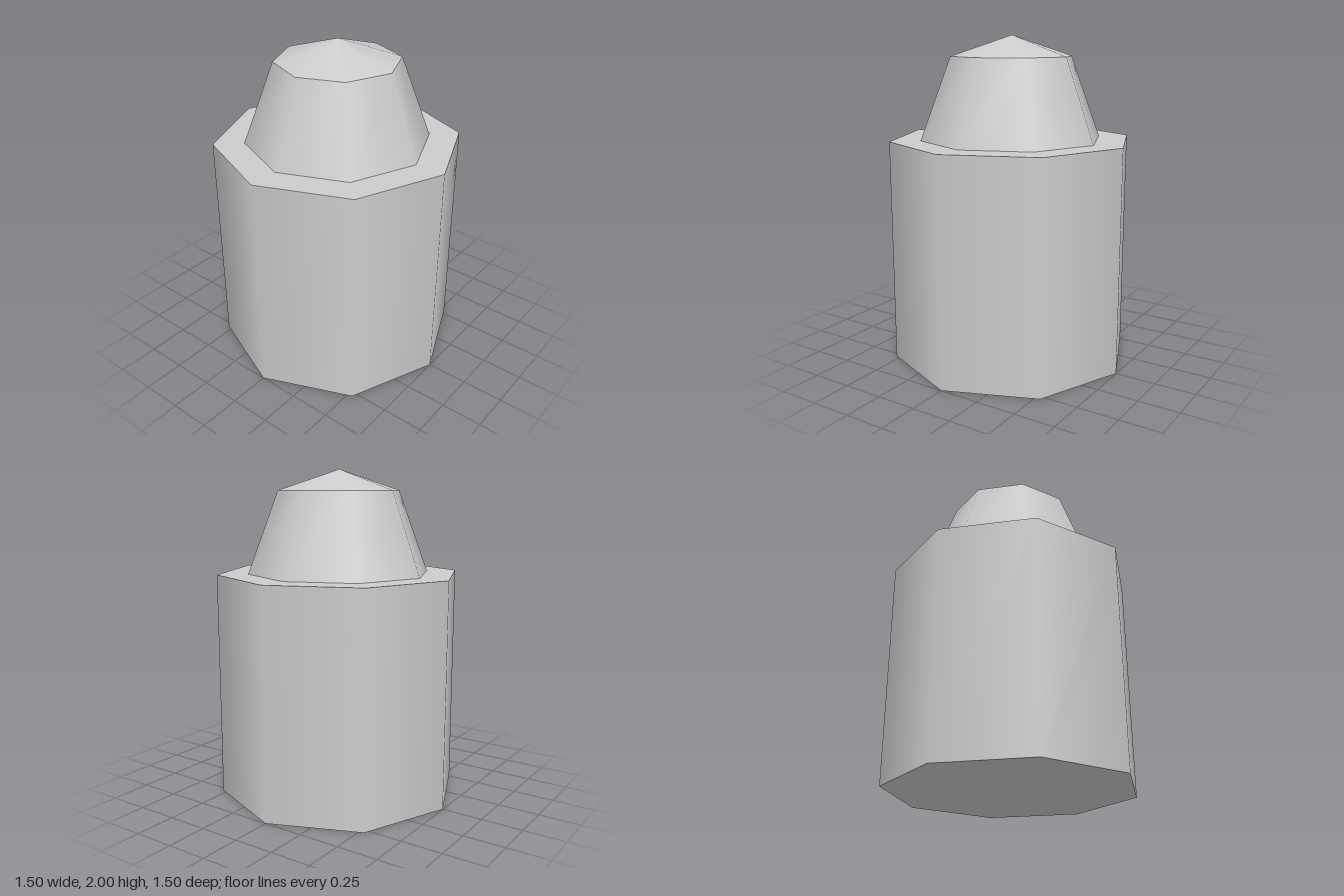
import * as THREE from 'three';

const SIDES = 8;

export function createModel() {
  const model = new THREE.Group();
  const gray = new THREE.MeshStandardMaterial({ color: 0xcccccc });
  gray.name = 'light gray';

  // Adds one smooth-shaded eight-sided section from y0 to y1.
  const addSection = (name, bottomRadius, topRadius, y0, y1, open) => {
    const geometry = new THREE.CylinderGeometry(topRadius, bottomRadius, y1 - y0, SIDES, 1, open);
    const mesh = new THREE.Mesh(geometry, gray);
    mesh.name = name;
    mesh.position.y = (y0 + y1) / 2;
    model.add(mesh);
  };

  // Straight body with flat base and shoulder
  addSection('body', 0.75, 0.75, 0, 1.375, false);
  // Tapered neck
  addSection('neck', 0.5625, 0.375, 1.375, 1.875, true);
  // Shallow pointed cap
  addSection('cap', 0.375, 0, 1.875, 2, true);

  return model;
}
